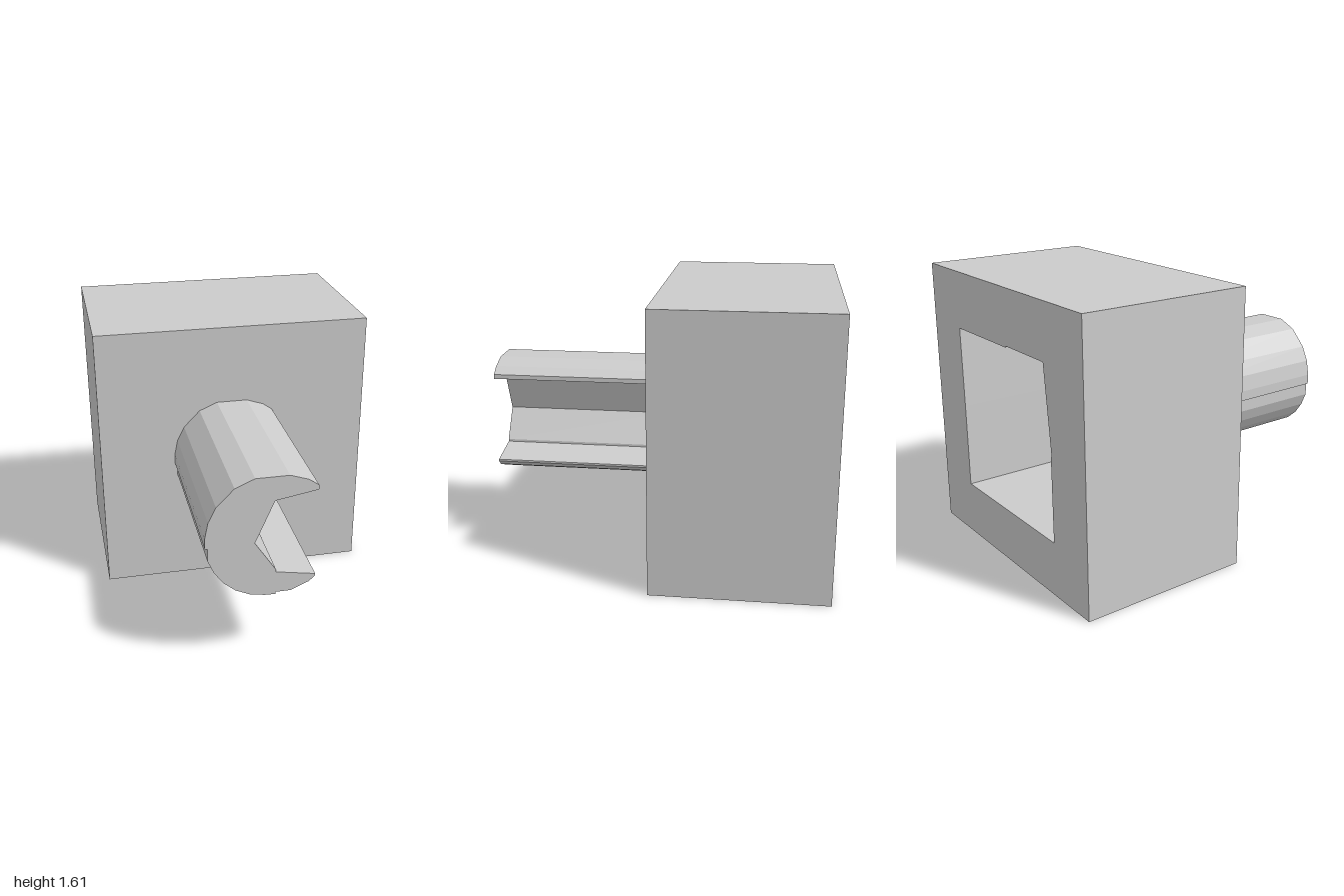
import * as THREE from 'three';

const material = new THREE.MeshStandardMaterial({ color: 0xcccccc, flatShading: true });
const toPoints = (pairs) => pairs.map(([x, y]) => new THREE.Vector2(x, y));

// Straight extrusion of an outline between two z positions
function prism(name, outline, zBack, zFront, hole) {
  const shape = new THREE.Shape(toPoints(outline));
  if (hole) shape.holes.push(new THREE.Path(toPoints(hole)));
  const geometry = new THREE.ExtrudeGeometry(shape, { depth: zFront - zBack, bevelEnabled: false });
  geometry.translate(0, 0, zBack);
  const mesh = new THREE.Mesh(geometry, material);
  mesh.name = name;
  return mesh;
}

export function createModel() {
  const group = new THREE.Group();
  group.name = 'slottedShaftBlock';

  const BACK = -1, POCKET_FLOOR = -0.21, FACE = 0.012, TIP = 1;
  const block = [[-0.8, 0], [0.8, 0], [0.8, 1.61], [-0.8, 1.61]];

  // Slightly irregular square pocket, open at the back
  const pocket = [
    [0.475, 0.315], [0.478, 0.81], [0.485, 1.28], [-0.05, 1.285], [-0.06, 1.293],
    [-0.435, 1.295], [-0.487, 0.81], [-0.48, 0.8], [-0.48, 0.315],
  ];
  group.add(prism('pocketWalls', block, BACK, POCKET_FLOOR, pocket));
  group.add(prism('frontWall', block, POCKET_FLOOR, FACE));

  // Round shaft with an angular notch along its left side
  const shaft = [
    // notch
    [0.234, 1.08], [0.234, 1.054], [0.005, 1.015], [-0.098, 0.776], [0.018, 0.6],
    [0.018, 0.586], [0.234, 0.546],
    // lower arc
    [0.234, 0.535], [0.2, 0.503], [0.1, 0.46], [0.018, 0.46], [0.018, 0.447],
    [-0.04, 0.449], [-0.12, 0.463], [-0.2, 0.5], [-0.265, 0.555], [-0.315, 0.625],
    [-0.347, 0.7], [-0.347, 0.772],
    // upper arc
    [-0.36, 0.775], [-0.36, 0.835], [-0.342, 0.925], [-0.3, 1.01], [-0.205, 1.107],
    [-0.1, 1.152], [0.08, 1.152], [0.18, 1.118],
  ];
  group.add(prism('notchedShaft', shaft, FACE, TIP));

  return group;
}
